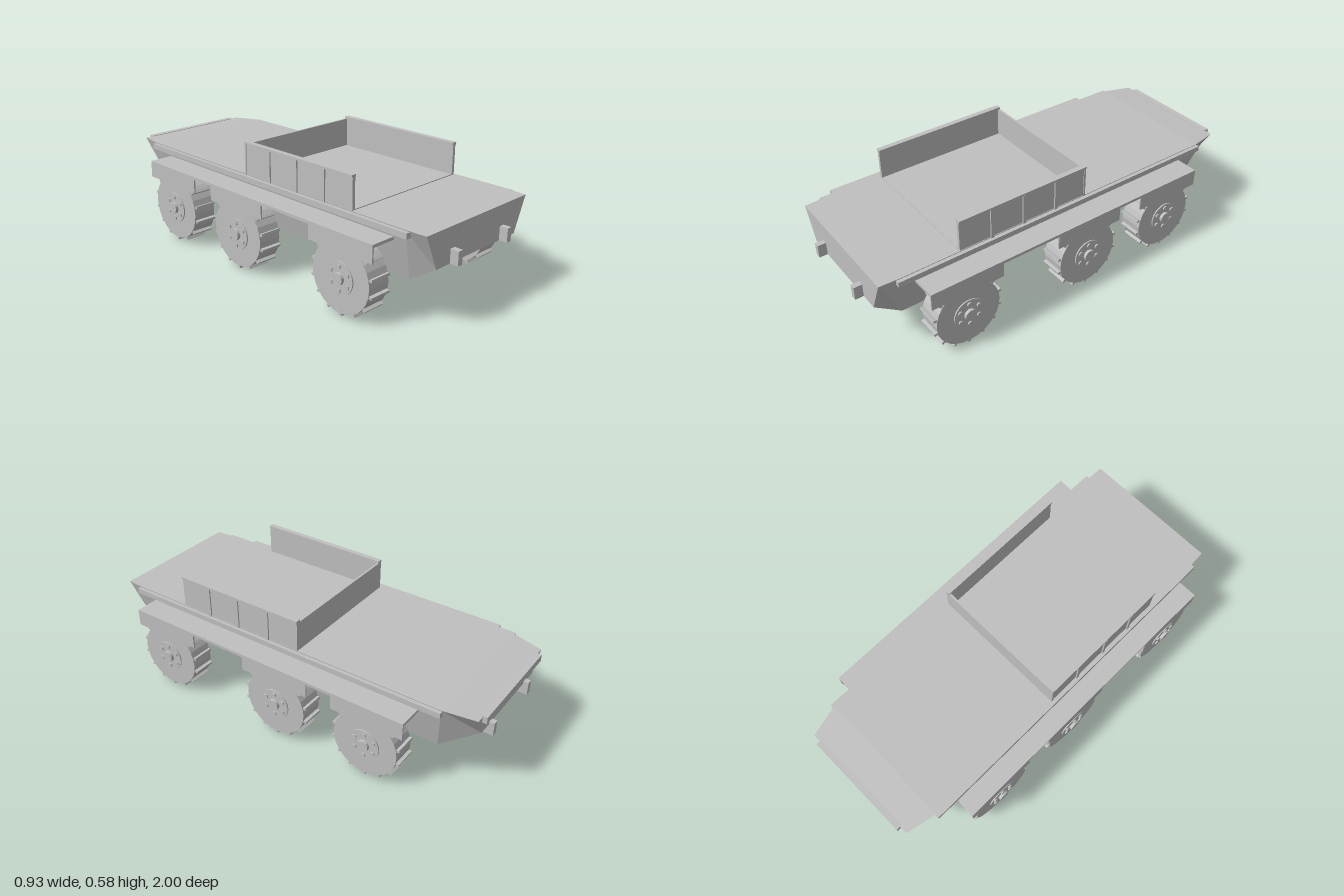
import * as THREE from 'three';

const paint = new THREE.MeshStandardMaterial({ color: 0xc0c0c0, flatShading: true });
paint.name = 'plain grey';

function add(parent, name, geometry, x = 0, y = 0, z = 0) {
  const mesh = new THREE.Mesh(geometry, paint);
  mesh.name = name;
  mesh.position.set(x, y, z);
  parent.add(mesh);
  return mesh;
}

// Box given by its lower and upper limits on each axis
function box(parent, name, [x0, x1], [y0, y1], [z0, z1]) {
  return add(parent, name, new THREE.BoxGeometry(x1 - x0, y1 - y0, z1 - z0),
    (x0 + x1) / 2, (y0 + y1) / 2, (z0 + z1) / 2);
}

// Cylinder lying along x between two limits
function drum(parent, name, r, x0, x1, y = 0, z = 0, sides = 28) {
  const g = new THREE.CylinderGeometry(r, r, x1 - x0, sides).rotateZ(-Math.PI / 2);
  return add(parent, name, g, (x0 + x1) / 2, y, z);
}

// Hull lofted through four-cornered sections, front to rear
function hullGeometry() {
  const stations = [ // top: half width, y, z; bottom: half width, y, z
    [0.34, 0.43, 0.96, 0.27, 0.27, 0.96],
    [0.345, 0.43, 0.86, 0.285, 0.195, 0.84],
    [0.345, 0.43, -0.83, 0.285, 0.195, -0.80],
    [0.31, 0.42, -0.98, 0.25, 0.32, -0.975],
  ];
  const points = [];
  for (const [tw, ty, tz, bw, by, bz] of stations) {
    points.push([-tw, ty, tz], [tw, ty, tz], [bw, by, bz], [-bw, by, bz]);
  }
  const pos = [];
  const quad = (a, b, c, d) => [a, b, c, a, c, d].forEach((i) => pos.push(...points[i]));
  for (let s = 0; s < stations.length - 1; s++) {
    for (let k = 0; k < 4; k++) {
      const n = (k + 1) % 4, a = s * 4;
      quad(a + k, a + n, a + 4 + n, a + 4 + k);
    }
  }
  quad(3, 2, 1, 0);
  const e = (stations.length - 1) * 4;
  quad(e, e + 1, e + 2, e + 3);
  // Sections run clockwise seen from the front, so flip every triangle
  for (let i = 0; i < pos.length; i += 9) {
    for (let j = 0; j < 3; j++) {
      [pos[i + 3 + j], pos[i + 6 + j]] = [pos[i + 6 + j], pos[i + 3 + j]];
    }
  }
  const g = new THREE.BufferGeometry();
  g.setAttribute('position', new THREE.Float32BufferAttribute(pos, 3));
  g.computeVertexNormals();
  // Make sure the faces look outward (signed volume test)
  let volume = 0;
  const [a, b, c] = [new THREE.Vector3(), new THREE.Vector3(), new THREE.Vector3()];
  for (let i = 0; i < pos.length; i += 9) {
    a.fromArray(pos, i); b.fromArray(pos, i + 3); c.fromArray(pos, i + 6);
    volume += a.dot(b.cross(c));
  }
  if (volume < 0) {
    g.setIndex([...Array(pos.length / 9).keys()].flatMap((t) => [3 * t, 3 * t + 2, 3 * t + 1]));
    g.computeVertexNormals();
  }
  return g;
}

// Wheel facing outward along side (+1 or -1)
function makeWheel(side, z) {
  const wheel = new THREE.Group();
  wheel.name = 'wheel';
  drum(wheel, 'tyre', 0.16, 0.33, 0.446);
  // Tread cleats
  const count = 14;
  for (let i = 0; i < count; i++) {
    const a = (i / count) * Math.PI * 2;
    const cleat = add(wheel, 'cleat', new THREE.BoxGeometry(0.108, 0.02, 0.012),
      0.388, -Math.cos(a) * 0.165, Math.sin(a) * 0.165);
    cleat.rotation.x = -a;
  }
  // Hub with a ring of bolts
  drum(wheel, 'hubPlate', 0.075, 0.44, 0.452);
  drum(wheel, 'hubCap', 0.028, 0.45, 0.467, 0, 0, 16);
  for (let i = 0; i < 6; i++) {
    const a = (i / 6) * Math.PI * 2;
    drum(wheel, 'hubBolt', 0.011, 0.45, 0.459, Math.cos(a) * 0.054, Math.sin(a) * 0.054, 8);
  }
  wheel.position.set(0, 0.175, z);
  if (side < 0) wheel.rotation.y = Math.PI;
  return wheel;
}

export function createModel() {
  const model = new THREE.Group();
  model.name = 'sixWheeledCarrier';

  add(model, 'hull', hullGeometry());
  box(model, 'rearBumper', [-0.27, 0.27], [0.39, 0.423], [-1, -0.97]);

  // Cargo bay
  box(model, 'cargoFloor', [-0.325, 0.325], [0.425, 0.434], [-0.1, 0.575]);
  box(model, 'cargoBackWall', [-0.345, 0.345], [0.43, 0.574], [-0.105, -0.095]);

  for (const side of [-1, 1]) {
    const span = (a, b) => (side > 0 ? [a, b] : [-b, -a]);
    box(model, 'cargoSideWall', span(0.327, 0.342), [0.425, 0.576], [-0.105, 0.575]);
    box(model, 'cargoTopRail', span(0.322, 0.348), [0.574, 0.585], [-0.105, 0.575]);
    for (const z of [0.41, 0.24, 0.065]) {
      box(model, 'cargoRib', span(0.338, 0.349), [0.425, 0.576], [z - 0.008, z + 0.008]);
    }

    // Rail along the deck edge, fender shelf and wheel skirts
    box(model, 'deckRail', span(0.335, 0.362), [0.4, 0.426], [-0.835, 0.88]);
    box(model, 'fender', span(0.315, 0.455), [0.364, 0.378], [-0.72, 0.79]);
    for (const z of [0.61, -0.05, -0.54]) {
      box(model, 'wheelSkirt', span(0.447, 0.455), [0.295, 0.37], [z - 0.18, z + 0.18]);
    }

    // Towing hooks at both ends
    box(model, 'frontHook', span(0.157, 0.184), [0.27, 0.334], [0.95, 1]);
    box(model, 'rearHook', span(0.157, 0.184), [0.27, 0.334], [-1, -0.94]);

    for (const z of [0.61, -0.05, -0.535]) model.add(makeWheel(side, z));
  }

  // Axles
  for (const z of [0.61, -0.05, -0.535]) {
    box(model, 'axle', [-0.34, 0.34], [0.155, 0.195], [z - 0.02, z + 0.02]);
  }
  return model;
}
